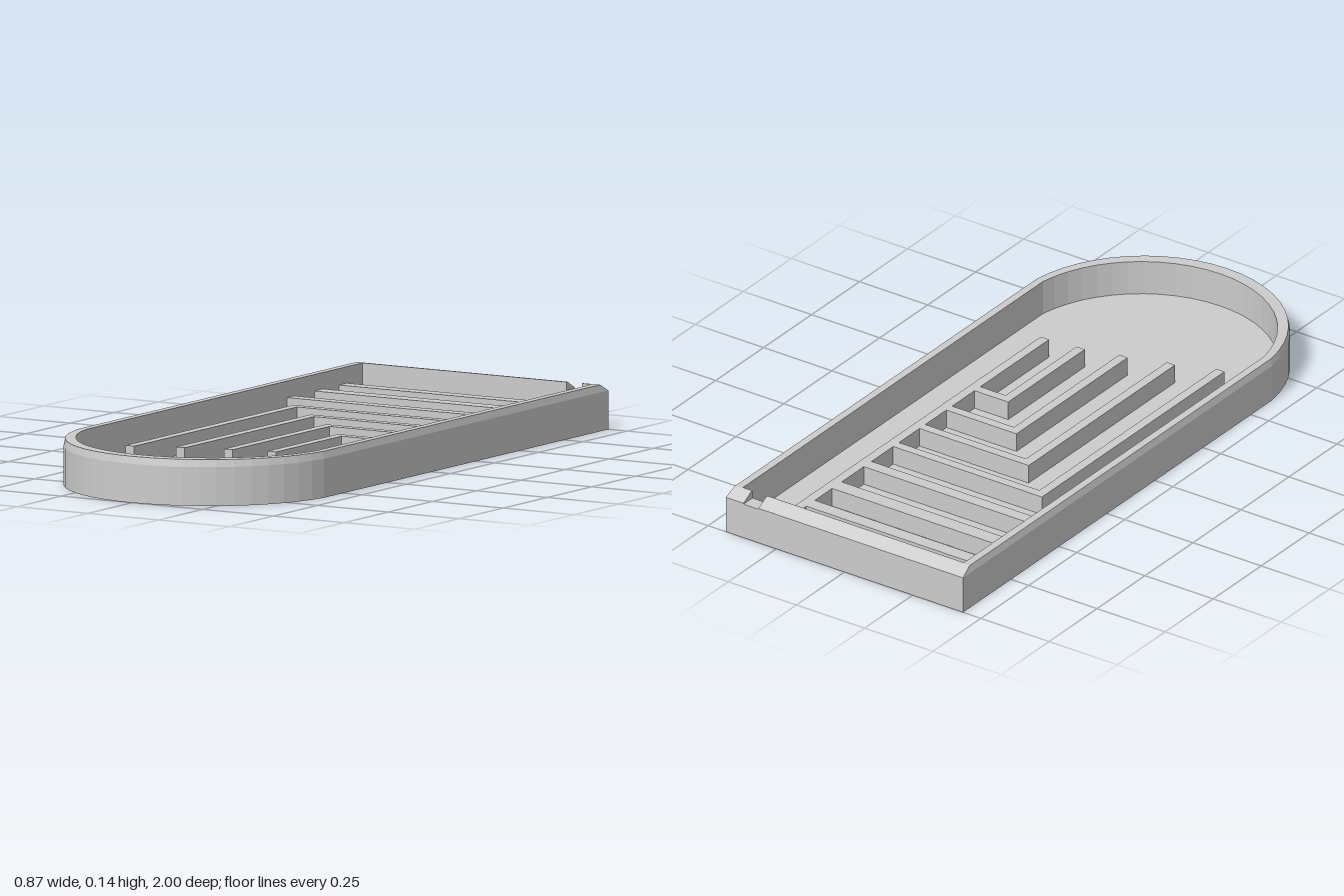
import * as THREE from 'three';

const FLOOR = 0.03, RIB_TOP = 0.09, ARC_START = 0.61, SEGMENTS = 24;
const NOTCH = { x0: 0.315, x1: 0.37, y: 0.115 };

// One horizontal ring of the tray: straight back and sides, rounded front.
function ring(halfWidth, back, front, y) {
  const low = Math.min(y, NOTCH.y);
  const pts = [
    [-halfWidth, y, back],
    [NOTCH.x0, y, back], [NOTCH.x0, low, back],
    [NOTCH.x1, low, back], [NOTCH.x1, y, back],
    [halfWidth, y, back],
  ];
  // circular arc through both side ends and the front middle
  const depth = front - ARC_START;
  const r = (halfWidth ** 2 + depth ** 2) / (2 * depth);
  const cz = front - r;
  const a0 = Math.atan2(ARC_START - cz, halfWidth);
  for (let i = 0; i <= SEGMENTS; i++) {
    const a = a0 + (Math.PI - 2 * a0) * i / SEGMENTS;
    pts.push([r * Math.cos(a), y, cz + r * Math.sin(a)]);
  }
  return pts;
}

// Joins successive rings with faces and closes the first and last ring.
function loft(rings) {
  const pos = [];
  const n = rings[0].length;
  const tri = (a, b, c) => pos.push(...a, ...b, ...c);
  const first = rings[0], last = rings[rings.length - 1];
  for (let i = 0; i < n; i++) {
    const j = (i + 1) % n;
    for (let k = 0; k + 1 < rings.length; k++) {
      const a = rings[k], b = rings[k + 1];
      tri(a[i], b[i], a[j]);
      tri(a[j], b[i], b[j]);
    }
    tri([0, first[0][1], 0], first[i], first[j]);
    tri([0, last[0][1], 0], last[j], last[i]);
  }
  const g = new THREE.BufferGeometry();
  g.setAttribute('position', new THREE.Float32BufferAttribute(pos, 3));
  g.computeVertexNormals();
  return g;
}

export function createModel() {
  const model = new THREE.Group();
  model.name = 'channelTray';
  const material = new THREE.MeshStandardMaterial({ color: 0xcccccc, flatShading: true });

  // tray shell: outer wall, chamfer, rim, inner wall and floor
  const tray = new THREE.Mesh(loft([
    ring(0.435, -1, 1, 0),
    ring(0.435, -1, 1, 0.118),
    ring(0.43, -0.96, 0.995, 0.14),
    ring(0.405, -0.953, 0.955, 0.14),
    ring(0.405, -0.953, 0.955, FLOOR),
  ]), material);
  tray.name = 'tray';
  model.add(tray);

  // upright rib standing on the floor, given by its extent in x and z
  const rib = (name, parent, x0, x1, z0, z1) => {
    const h = RIB_TOP - FLOOR;
    const mesh = new THREE.Mesh(new THREE.BoxGeometry(x1 - x0, h, z1 - z0), material);
    mesh.position.set((x0 + x1) / 2, FLOOR + h / 2, (z0 + z1) / 2);
    mesh.name = name;
    parent.add(mesh);
  };

  // long spine dividing off the side channel
  rib('spineRib', model, 0.235, 0.265, -0.953, 0.4);

  // cross ribs from the side wall to the spine
  [[-0.865, -0.82], [-0.73, -0.68], [-0.565, -0.525]].forEach(([z0, z1], i) =>
    rib(`crossRib${i + 1}`, model, -0.405, 0.235, z0, z1));

  // nested L-shaped ribs: outer x, back z, front end z
  [[-0.31, -0.412, 0.54], [-0.165, -0.275, 0.488],
   [-0.022, -0.135, 0.444], [0.112, 0.012, 0.412]].forEach(([x, z, end], i) => {
    const t = 0.03;
    const bent = new THREE.Group();
    bent.name = `bentRib${i + 1}`;
    rib('crossArm', bent, x, 0.235, z, z + t);
    rib('forwardArm', bent, x, x + t, z + t, end);
    model.add(bent);
  });

  return model;
}
